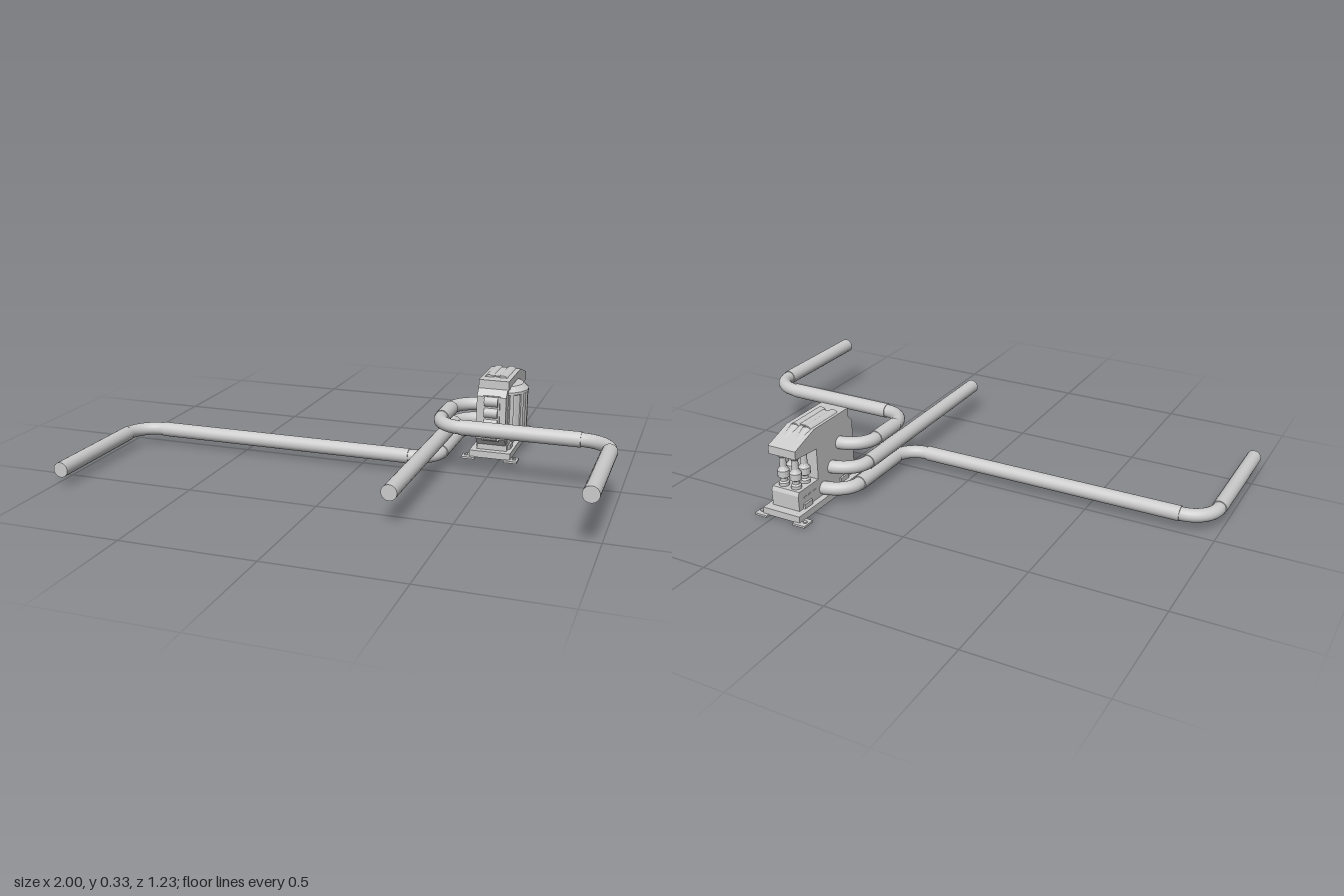
import * as THREE from 'three';

const grey = new THREE.MeshStandardMaterial({ color: 0xcccccc });
const V = (x, y, z) => new THREE.Vector3(x, y, z);

function add(parent, name, geometry, x = 0, y = 0, z = 0) {
  const mesh = new THREE.Mesh(geometry, grey);
  mesh.name = name;
  mesh.position.set(x, y, z);
  parent.add(mesh);
  return mesh;
}

// box given by its two extreme corners
function block(parent, name, x0, x1, y0, y1, z0, z1) {
  return add(parent, name, new THREE.BoxGeometry(x1 - x0, y1 - y0, z1 - z0),
    (x0 + x1) / 2, (y0 + y1) / 2, (z0 + z1) / 2);
}

// side profile of [-z, y] points, extruded across x
function slab(parent, name, points, x0, x1) {
  const shape = new THREE.Shape(points.map(p => new THREE.Vector2(...p)));
  const geometry = new THREE.ExtrudeGeometry(shape, { depth: x1 - x0, bevelEnabled: false });
  geometry.rotateY(Math.PI / 2);
  return add(parent, name, geometry, x0, 0, 0);
}

// thick straight pipe between two points
function sleeve(parent, a, b, r = 0.029) {
  const mesh = add(parent, 'pipeSleeve', new THREE.CylinderGeometry(r, r, a.distanceTo(b), 24));
  mesh.position.copy(a).lerp(b, 0.5);
  mesh.quaternion.setFromUnitVectors(V(0, 1, 0), b.clone().sub(a).normalize());
}

// quarter-turn elbow from a to b around a corner
function elbow(parent, a, corner, b) {
  const k = 0.552;
  const curve = new THREE.CubicBezierCurve3(a, a.clone().lerp(corner, k), b.clone().lerp(corner, k), b);
  add(parent, 'pipeElbow', new THREE.TubeGeometry(curve, 16, 0.026, 20));
}

// route of [x, z] points at one height: elbow start, corner, elbow end, then the next elbow...
function pipe(parent, name, y, points) {
  const group = new THREE.Group();
  group.name = name;
  parent.add(group);
  const p = points.map(([x, z]) => V(x, y, z));
  for (let i = 0; i + 2 < p.length; i += 3) {
    elbow(group, p[i], p[i + 1], p[i + 2]);
    sleeve(group, p[i + 2], p[i + 3]);
  }
}

function lathe(parent, name, profile, x, z, segments, start = 0, length = Math.PI * 2) {
  const points = profile.map(p => new THREE.Vector2(...p));
  const geometry = new THREE.LatheGeometry(points, segments, start, length).toNonIndexed();
  geometry.computeVertexNormals();
  return add(parent, name, geometry, x, 0, z);
}

export function createModel() {
  const model = new THREE.Group();
  model.name = 'pumpUnit';

  // three pipe runs
  pipe(model, 'upperPipe', 0.201, [
    [0.42, -0.295], [0.302, -0.295], [0.302, -0.195], [0.302, -0.056],
    [0.302, 0.046], [0.40, 0.046], [0.853, 0.046],
    [0.967, 0.046], [0.967, 0.15], [0.967, 0.6]].reduce((out, q, i) => {
    // every sleeve end is also the start of the next elbow
    out.push(q);
    return out;
  }, []));
  pipe(model, 'middlePipe', 0.124, [
    [0.42, -0.355], [0.302, -0.355], [0.302, -0.255], [0.302, 0.6]]);
  pipe(model, 'lowerPipe', 0.061, [
    [0.42, -0.414], [0.302, -0.414], [0.302, -0.32], [0.302, -0.056],
    [0.302, 0.031], [0.20, 0.031], [-0.86, 0.031],
    [-0.972, 0.031], [-0.972, 0.137], [-0.972, 0.615]]);

  const pump = new THREE.Group();
  pump.name = 'pumpBody';
  model.add(pump);

  // base plate with corner feet
  block(pump, 'basePlate', 0.38, 0.545, 0.006, 0.033, -0.605, -0.2);
  for (const x of [0.377, 0.548]) {
    for (const z of [-0.592, -0.212]) {
      block(pump, 'footPlate', x - 0.027, x + 0.027, 0, 0.008, z - 0.027, z + 0.027);
      add(pump, 'footBolt', new THREE.CylinderGeometry(0.008, 0.008, 0.006, 6),
        x + Math.sign(x - 0.46) * 0.012, 0.01, z);
    }
  }

  // lower housing, back wall, front column and overhanging roof
  slab(pump, 'lowerHousing', [[0.228, 0.033], [0.57, 0.033], [0.572, 0.095], [0.565, 0.11], [0.228, 0.11]], 0.404, 0.525);
  block(pump, 'sideWall', 0.404, 0.48, 0.1, 0.3, -0.443, -0.228);
  slab(pump, 'frontColumn', [[0.25, 0.05], [0.25, 0.3], [0.228, 0.285], [0.203, 0.258], [0.203, 0.085], [0.228, 0.055]], 0.404, 0.521);
  slab(pump, 'roof', [[0.228, 0.283], [0.443, 0.283], [0.443, 0.236], [0.572, 0.246], [0.572, 0.279],
    [0.45, 0.319], [0.228, 0.319]], 0.404, 0.525);

  // brackets and vents along the lower housing
  for (const z of [-0.28, -0.52]) {
    block(pump, 'bracket', 0.396, 0.533, 0.033, 0.052, z - 0.025, z + 0.025);
  }
  for (const z of [-0.47, -0.5, -0.53]) {
    block(pump, 'ventBar', 0.402, 0.528, 0.073, 0.079, z - 0.009, z + 0.009);
  }

  // roof tubes that sink into the slope
  for (const x of [0.434, 0.488]) {
    sleeve(pump, V(x, 0.305, -0.28), V(x, 0.305, -0.452), 0.023);
    sleeve(pump, V(x, 0.305, -0.447), V(x, 0.266, -0.53), 0.023);
  }
  block(pump, 'roofPlate', 0.425, 0.5, 0.315, 0.323, -0.44, -0.29);

  // front connector stack
  block(pump, 'connectorFrame', 0.43, 0.497, 0.08, 0.262, -0.21, -0.198);
  for (let i = 0; i < 4; i++) {
    const rib = add(pump, 'connector', new THREE.CylinderGeometry(0.022, 0.022, 0.054, 12), 0.463, 0.102 + i * 0.046, -0.207);
    rib.rotation.z = Math.PI / 2;
  }

  // motor drum, half sunk in the wall
  lathe(pump, 'motorDrum', [[0, 0.078], [0.09, 0.078], [0.107, 0.09], [0.107, 0.1], [0.1, 0.104],
    [0.1, 0.256], [0.107, 0.26], [0.107, 0.27], [0.085, 0.29], [0, 0.29]], 0.475, -0.336, 12, 0, Math.PI);
  for (let i = 0; i < 7; i++) {
    const a = 0.12 + i * (Math.PI - 0.24) / 6;
    const rib = add(pump, 'drumRib', new THREE.BoxGeometry(0.01, 0.16, 0.016),
      0.475 + 0.1 * Math.sin(a), 0.18, -0.336 + 0.1 * Math.cos(a));
    rib.rotation.y = a - Math.PI / 2;
  }

  // pistons under the overhang
  const piston = [[0.02, 0.105], [0.02, 0.122], [0.014, 0.128], [0.014, 0.14], [0.023, 0.146], [0.023, 0.172],
    [0.017, 0.18], [0.013, 0.188], [0.013, 0.225], [0.018, 0.23], [0.018, 0.25]];
  for (const z of [-0.48, -0.535]) {
    for (const x of [0.437, 0.492]) lathe(pump, 'piston', piston, x, z, 14);
  }
  return model;
}
